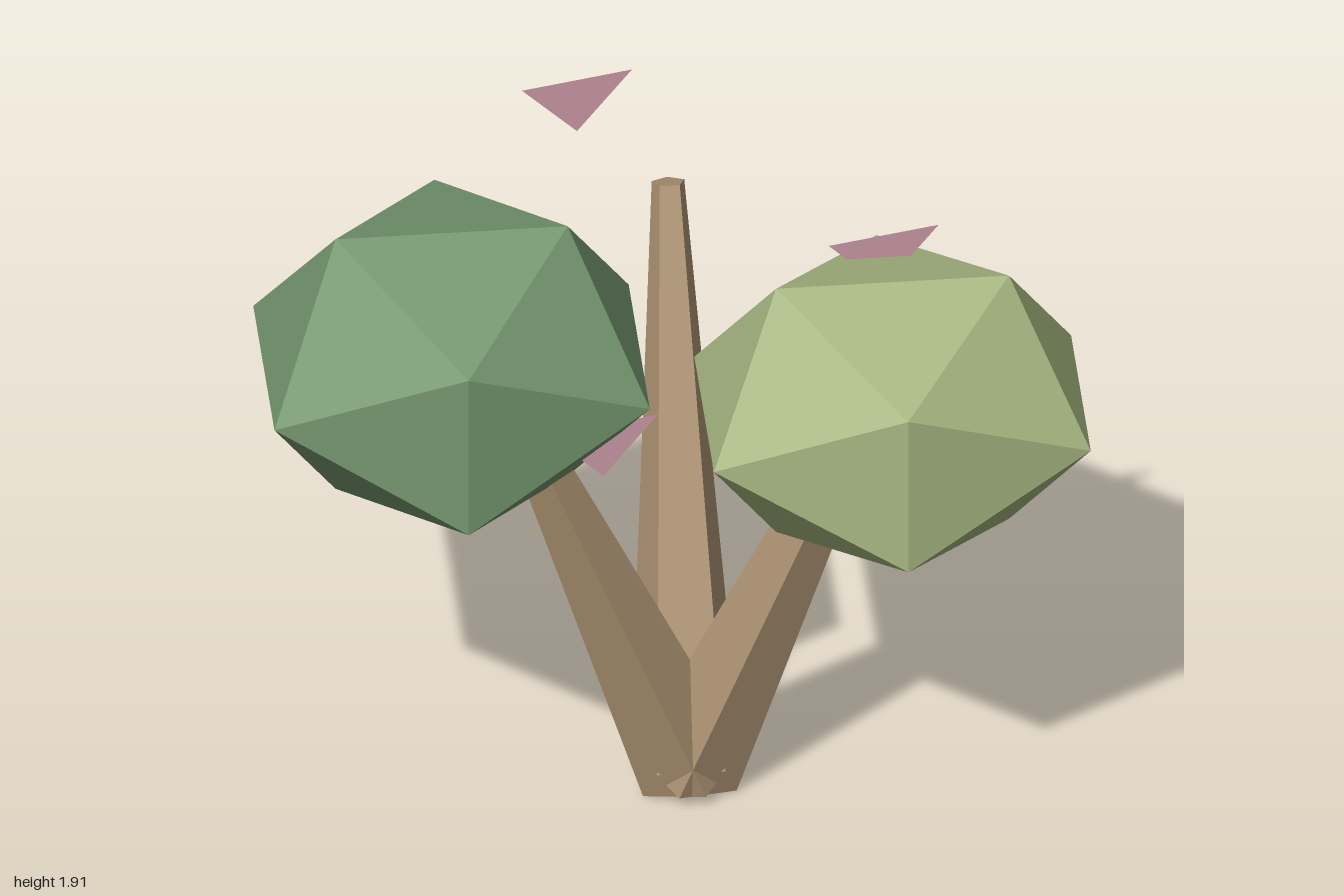
import * as THREE from 'three';

export function createModel() {
  const model = new THREE.Group();
  const mat = (name, color, extra = {}) =>
    Object.assign(new THREE.MeshStandardMaterial({ color, flatShading: true, ...extra }), { name });
  const bark = mat('bark', 0xae9473);
  const darkLeaf = mat('darkLeaf', 0x74966f);
  const lightLeaf = mat('lightLeaf', 0xa5b680);
  const petalPink = mat('petalPink', 0xc495a4, { side: THREE.DoubleSide });

  const add = (name, geometry, material, x, y, z) => {
    const mesh = new THREE.Mesh(geometry, material);
    mesh.name = name;
    mesh.position.set(x, y, z);
    model.add(mesh);
    return mesh;
  };

  // Three tapered five-sided trunks leaning outwards from one root
  const length = 1.475;
  const trunks = [
    ['rightTrunk', -60, 22.3],
    ['leftTrunk', 60, 21.7],
    ['backTrunk', 180, 18.4],
  ];
  for (const [name, azimuth, tilt] of trunks) {
    const g = new THREE.CylinderGeometry(0.042, 0.143, length, 5);
    g.translate(0, length / 2, 0);
    g.rotateX(THREE.MathUtils.degToRad(tilt));
    g.rotateY(THREE.MathUtils.degToRad(azimuth));
    add(name, g, bark, 0.055, 0.05, -0.06);
  }

  // Faceted leaf crowns
  const crown = (name, material, pos, scale) =>
    add(name, new THREE.IcosahedronGeometry(1, 0).scale(...scale), material, ...pos);
  crown('rightCrown', darkLeaf, [-0.54, 1.418, 0.118], [0.541, 0.438, 0.503]);
  crown('leftCrown', lightLeaf, [0.536, 1.242, 0.17], [0.543, 0.427, 0.467]);

  // Flat drifting petals, all facing forwards
  const petalShape = new THREE.Shape([
    new THREE.Vector2(-0.27, -0.045),
    new THREE.Vector2(-0.135, -0.175),
    new THREE.Vector2(0, 0),
  ]);
  const petals = [[-0.05, 1.335, 0.29], [0.67, 1.62, -0.04], [-0.05, 1.905, -0.365]];
  petals.forEach((p, i) =>
    add(`petal${i + 1}`, new THREE.ShapeGeometry(petalShape), petalPink, ...p));

  return model;
}
